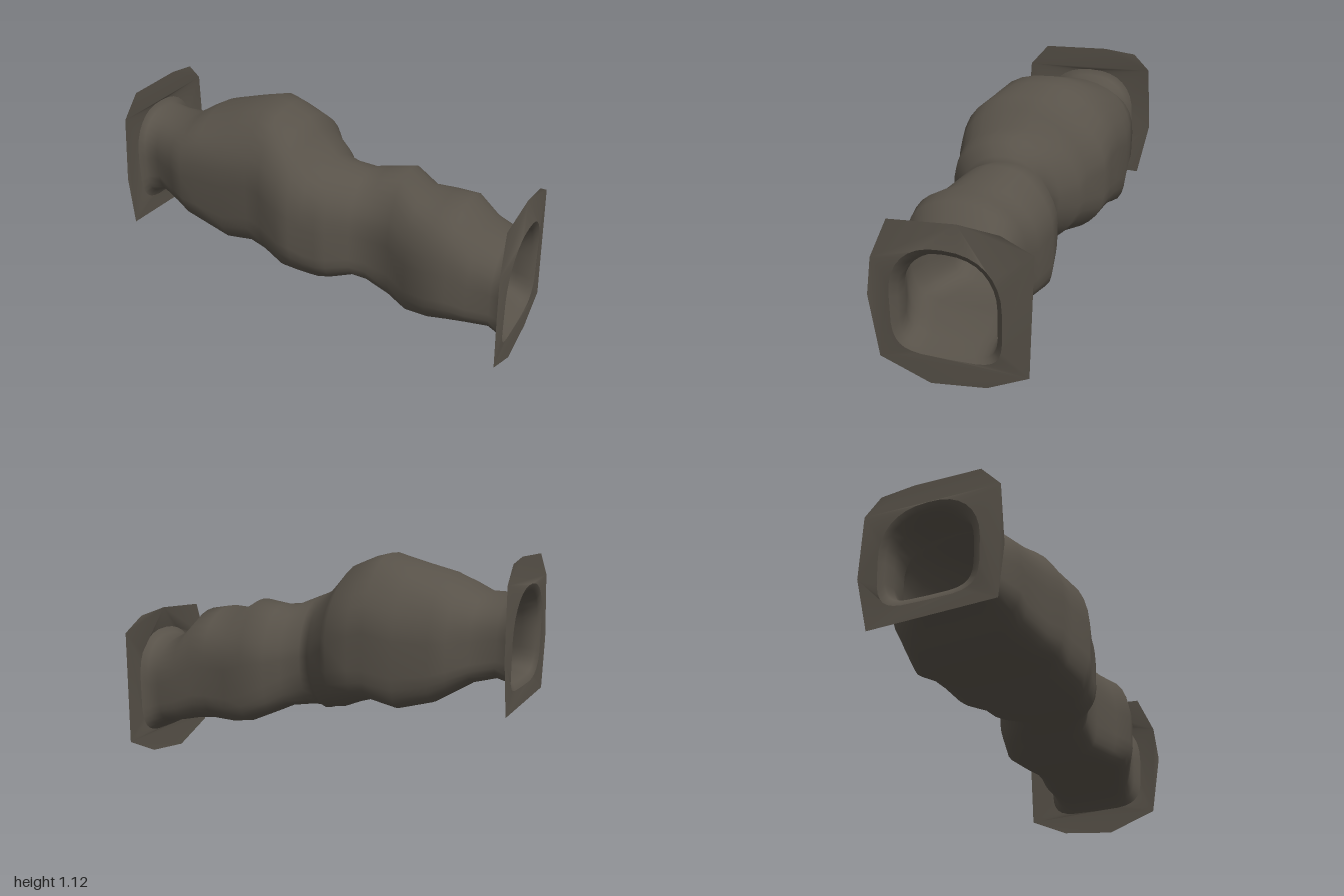
import * as THREE from 'three';

const SIDES = 32;

// Tunnel sections: x, top y, bottom y, back z, front z
const SECTIONS = [
  [-0.985, 0.99, 0.51, -0.265, 0.245],
  [-0.97, 0.96, 0.54, -0.235, 0.21],
  [-0.9, 0.945, 0.56, -0.23, 0.205],
  [-0.78, 0.945, 0.53, -0.25, 0.27],
  [-0.7, 0.99, 0.485, -0.35, 0.31],
  [-0.62, 1.03, 0.44, -0.36, 0.305],
  [-0.46, 1.07, 0.4, -0.39, 0.335],
  [-0.31, 1.11, 0.425, -0.385, 0.35],
  [-0.23, 1.09, 0.4, -0.375, 0.36],
  [-0.12, 1.045, 0.355, -0.375, 0.405],
  [-0.06, 0.99, 0.34, -0.3, 0.39],
  [0, 0.92, 0.32, -0.285, 0.37],
  [0.06, 0.89, 0.315, -0.2, 0.36],
  [0.11, 0.87, 0.32, -0.185, 0.345],
  [0.2, 0.83, 0.32, -0.22, 0.27],
  [0.27, 0.83, 0.29, -0.265, 0.235],
  [0.39, 0.85, 0.24, -0.285, 0.24],
  [0.5, 0.79, 0.22, -0.255, 0.305],
  [0.62, 0.795, 0.225, -0.245, 0.34],
  [0.71, 0.78, 0.22, -0.245, 0.32],
  [0.8, 0.67, 0.205, -0.25, 0.275],
  [0.9, 0.615, 0.19, -0.24, 0.23],
  [0.96, 0.635, 0.155, -0.24, 0.235],
  [0.985, 0.665, 0.135, -0.27, 0.265],
];

// Entrance frames: x, y, z of each corner
const HIGH_FRAME = [
  [-0.975, 1.11, 0.24], [-0.975, 1.12, -0.1], [-0.98, 1.1, -0.27], [-0.98, 1.015, -0.355],
  [-0.98, 0.69, -0.37], [-0.975, 0.42, -0.31], [-0.975, 0.44, 0.33],
  [-0.98, 0.69, 0.36], [-0.98, 1.0, 0.34],
];
const LOW_FRAME = [
  [0.97, 0.76, 0.27], [0.97, 0.78, -0.06], [0.975, 0.76, -0.26], [0.97, 0.69, -0.41],
  [0.975, 0.12, -0.39], [0.97, 0.03, -0.19], [0.97, 0, 0.08], [0.97, 0.09, 0.33],
  [0.98, 0.39, 0.375], [0.975, 0.57, 0.355],
];

// Domed roof and square floor, rounder under the waist, with rocky bulges on the diagonals
function ring([x, top, bottom, back, front]) {
  const points = [];
  for (let j = 0; j < SIDES; j++) {
    const a = (j / SIDES) * Math.PI * 2;
    const s = Math.sin(a), c = Math.cos(a);
    const roof = c > 0 ? 2.3 : 1.8 + 0.6 * Math.abs(x);
    const floor = c > 0 ? 4.5 : 2 + Math.min(2.8, 8 * Math.abs(x - 0.05));
    const power = 2 / (s > 0 ? roof : floor);
    const soft = (v) => Math.sign(v) * Math.pow(Math.abs(v), power);
    const calm = 1 - Math.pow(Math.abs(x), 4);
    const rock = 1 + 0.02 * calm * Math.sin(2 * a) ** 2 * Math.sin(9 * x + 3 * a);
    points.push(new THREE.Vector3(
      x * (1 + 0.015 * s),
      (top + bottom) / 2 + soft(s) * rock * (top - bottom) / 2,
      (front + back) / 2 + soft(c) * rock * (front - back) / 2,
    ));
  }
  return points;
}

// Skin over the rings, open at both ends
function tunnelGeometry(rings) {
  const index = [];
  for (let i = 0; i < rings.length - 1; i++) {
    for (let j = 0; j < SIDES; j++) {
      const k = (j + 1) % SIDES;
      const a = i * SIDES + j, b = a + SIDES;
      const c = i * SIDES + k, d = c + SIDES;
      index.push(a, b, c, b, d, c);
    }
  }
  const geometry = new THREE.BufferGeometry().setFromPoints(rings.flat());
  geometry.setIndex(index);
  geometry.computeVertexNormals();
  return geometry;
}

// Thin warped sheet between the frame corners and the tunnel lip
function frameGeometry(corners, lip) {
  const outline = corners.map((p) => new THREE.Vector3(...p));
  const flat = (points) => points.map((p) => new THREE.Vector2(p.z, p.y));
  const faces = THREE.ShapeUtils.triangulateShape(flat(outline), [flat(lip)]);
  const geometry = new THREE.BufferGeometry().setFromPoints([...outline, ...lip]);
  geometry.setIndex(faces.flat());
  geometry.computeVertexNormals();
  return geometry;
}

export function createModel() {
  const group = new THREE.Group();
  const rock = new THREE.MeshStandardMaterial({ color: 0x585249, side: THREE.DoubleSide });
  rock.name = 'darkRock';
  const add = (name, geometry) => {
    const mesh = new THREE.Mesh(geometry, rock);
    mesh.name = name;
    group.add(mesh);
  };

  const rings = SECTIONS.map(ring);
  add('caveTunnel', tunnelGeometry(rings));
  add('highEntranceFrame', frameGeometry(HIGH_FRAME, rings[0]));
  add('lowEntranceFrame', frameGeometry(LOW_FRAME, rings[rings.length - 1]));
  return group;
}
